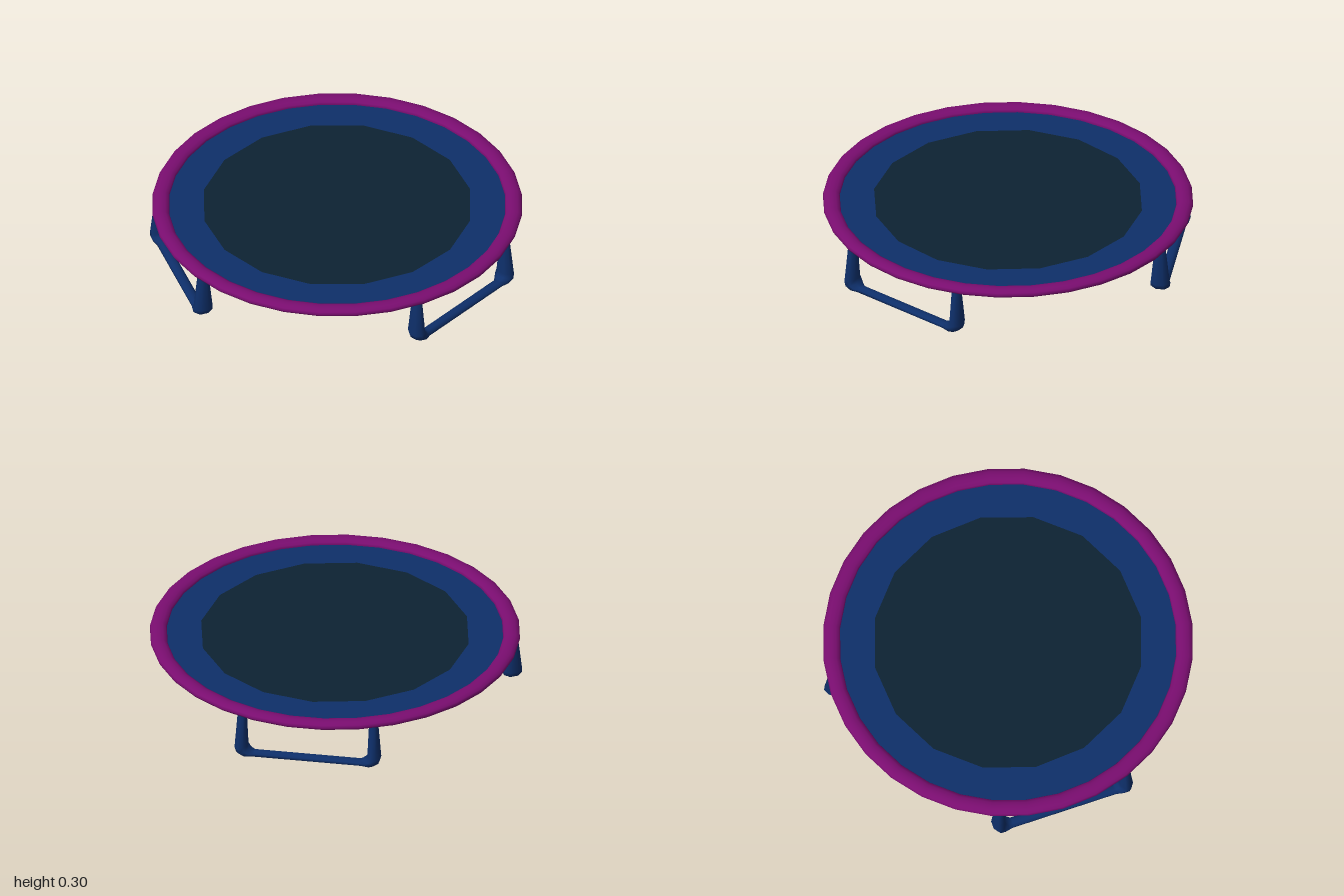
import * as THREE from 'three';

const DECK_Y = 0.27;

// Leg sections: outer (t, y), inner (t, y), radial centre, radial half width
const HALF_LEG = [
  [0.384, 0.268, 0.338, 0.268, 0.891, 0.028],
  [0.4, 0.05, 0.33, 0.065, 0.892, 0.05],
  [0.39, 0.022, 0.32, 0.045, 0.893, 0.052],
  [0.355, 0.0, 0.302, 0.035, 0.897, 0.042],
  [0.3, 0.0, 0.29, 0.035, 0.902, 0.028],
];

// U-shaped leg lofted from top to foot, across the bar and up again
function legGeometry(sides = 8) {
  const mirrored = HALF_LEG.map(([a, b, c, d, r, w]) => [-a, b, -c, d, r, w]).reverse();
  const sections = [...HALF_LEG, ...mirrored];
  const positions = [];
  const index = [];
  sections.forEach(([ot, oy, it, iy, r, w], i) => {
    for (let j = 0; j < sides; j++) {
      const a = ((j + 0.5) / sides) * Math.PI * 2;
      const k = Math.cos(a) / Math.cos(Math.PI / sides);
      positions.push(
        (ot + it) / 2 + ((ot - it) / 2) * k,
        (oy + iy) / 2 + ((oy - iy) / 2) * k,
        -(r + (w * Math.sin(a)) / Math.cos(Math.PI / sides)),
      );
      if (i === sections.length - 1) continue;
      const p = i * sides + j;
      const q = i * sides + ((j + 1) % sides);
      index.push(p, p + sides, q, q, p + sides, q + sides);
    }
  });
  const g = new THREE.BufferGeometry();
  g.setAttribute('position', new THREE.Float32BufferAttribute(positions, 3));
  g.setIndex(index);
  g.computeVertexNormals();
  return g;
}

// Regular polygon points
function polygon(radius, sides, offset = 0) {
  return Array.from({ length: sides }, (_, i) => {
    const a = (i / sides) * Math.PI * 2 + offset;
    return new THREE.Vector2(radius * Math.cos(a), radius * Math.sin(a));
  });
}

export function createModel() {
  const model = new THREE.Group();
  model.name = 'trampoline';

  const rimPurple = new THREE.MeshStandardMaterial({ color: 0x7a0d70 });
  rimPurple.name = 'rimPurple';
  const frameBlue = new THREE.MeshStandardMaterial({ color: 0x0e2f6a, side: THREE.DoubleSide });
  frameBlue.name = 'frameBlue';
  const matDark = new THREE.MeshStandardMaterial({ color: 0x0d2233, side: THREE.DoubleSide });
  matDark.name = 'matDark';

  const add = (name, geometry, material) => {
    const mesh = new THREE.Mesh(geometry, material);
    mesh.name = name;
    model.add(mesh);
    return mesh;
  };

  // Flattened padded rim
  const rim = new THREE.TorusGeometry(0.9598, 0.046, 12, 32);
  rim.rotateX(Math.PI / 2).rotateY(Math.PI / 32).scale(1, 0.55, 1);
  add('rim', rim, rimPurple).position.y = DECK_Y;

  // Blue band between rim and bouncing mat
  const band = new THREE.Shape(polygon(0.95, 32, Math.PI / 32));
  band.holes.push(new THREE.Path(polygon(0.735, 16)));
  add('band', new THREE.ShapeGeometry(band).rotateX(-Math.PI / 2), frameBlue).position.y = DECK_Y;

  // Bouncing mat
  add('mat', new THREE.CircleGeometry(0.735, 16).rotateX(-Math.PI / 2), matDark).position.y = DECK_Y;

  // Three legs around the frame
  const leg = legGeometry();
  ['backLeg', 'rightLeg', 'leftLeg'].forEach((name, i) => {
    add(name, leg, frameBlue).rotation.y = (i * Math.PI * 2) / 3;
  });

  return model;
}
